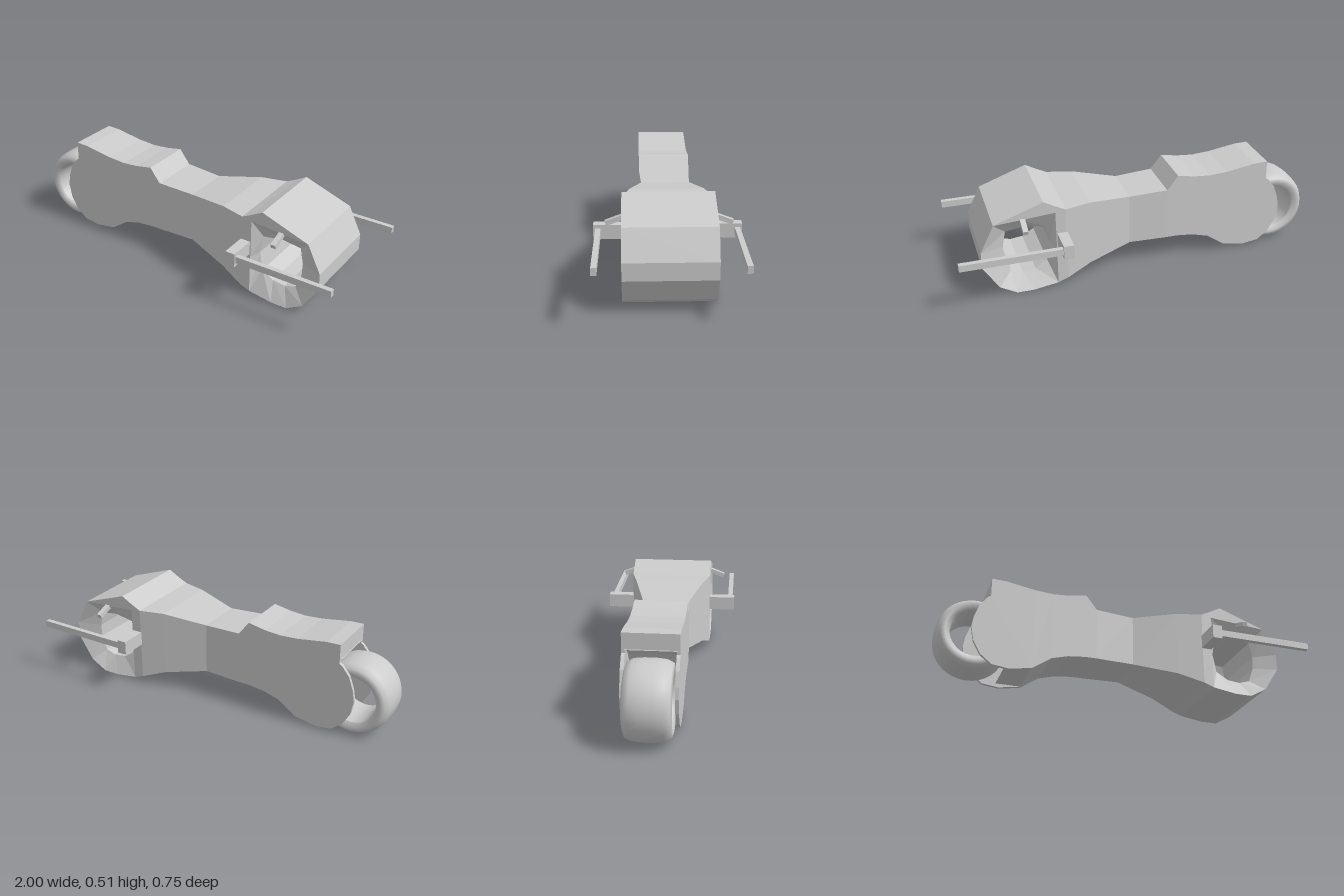
import * as THREE from 'three';

const grey = new THREE.MeshStandardMaterial({ color: 0xcccccc, flatShading: true, side: THREE.DoubleSide });
const smoothGrey = new THREE.MeshStandardMaterial({ color: 0xcccccc, side: THREE.DoubleSide });

// Collects flat quads and turns them into a geometry
function quadBuilder() {
  const pos = [];
  const quad = (a, b, c, d) => pos.push(...a, ...b, ...c, ...a, ...c, ...d);
  const flip = p => [p[0], p[1], -p[2]];
  return {
    quad,
    // a quad on the left flank and its mirror image
    pair(a, b, c, d) {
      quad(a, b, c, d);
      quad(flip(d), flip(c), flip(b), flip(a));
    },
    build() {
      const g = new THREE.BufferGeometry();
      g.setAttribute('position', new THREE.Float32BufferAttribute(pos, 3));
      g.computeVertexNormals();
      return g;
    }
  };
}

// Long tapering fuselage: stations of x, bottom, top, half width
function fuselageGeometry() {
  const stations = [
    [-0.5, 0.03, 0.485, 0.14], [-0.4, 0.1, 0.478, 0.14], [-0.31, 0.125, 0.485, 0.14],
    [-0.215, 0.135, 0.502, 0.14], [-0.155, 0.135, 0.425, 0.14], [0.055, 0.135, 0.415, 0.13],
    [0.29, 0.09, 0.45, 0.193], [0.425, 0.041, 0.45, 0.228], [0.48, 0.02, 0.477, 0.228]
  ];
  const q = quadBuilder();
  for (let i = 0; i < stations.length - 1; i++) {
    const [x0, b0, t0, w0] = stations[i], [x1, b1, t1, w1] = stations[i + 1];
    q.pair([x0, b0, w0], [x1, b1, w1], [x1, t1, w1], [x0, t0, w0]);
    q.quad([x0, t0, w0], [x1, t1, w1], [x1, t1, -w1], [x0, t0, -w0]);
    q.quad([x0, b0, -w0], [x1, b1, -w1], [x1, b1, w1], [x0, b0, w0]);
  }
  return q.build();
}

// Wide nose with a bevelled opening running through it
function noseGeometry() {
  const W = 0.228, D = 0.175;
  const outline = [
    [0.48, 0.477], [0.54, 0.51], [0.8, 0.417], [0.873, 0.27], [0.873, 0.18],
    [0.79, 0.05], [0.7, 0], [0.61, 0], [0.48, 0.02]
  ];
  const rim = [
    [0.48, 0.44], [0.66, 0.427], [0.8, 0.417], [0.873, 0.27], [0.873, 0.18],
    [0.79, 0.05], [0.7, 0], [0.61, 0], [0.48, 0.02], [0.48, 0.23]
  ];
  const hole = [
    [0.525, 0.34], [0.63, 0.36], [0.735, 0.345], [0.752, 0.26], [0.75, 0.19],
    [0.72, 0.11], [0.66, 0.092], [0.59, 0.1], [0.525, 0.14], [0.506, 0.24]
  ];
  const q = quadBuilder();
  for (let i = 0; i < outline.length - 1; i++) {
    const a = outline[i], b = outline[i + 1];
    q.quad([...a, W], [...b, W], [...b, -W], [...a, -W]);
  }
  // flat cheek above the opening
  q.pair([...rim[0], W], [...rim[2], W], [...outline[1], W], [...outline[0], W]);
  for (let i = 0; i < rim.length; i++) {
    const j = (i + 1) % rim.length;
    q.pair([...rim[i], W], [...hole[i], D], [...hole[j], D], [...rim[j], W]);
    q.quad([...hole[i], D], [...hole[i], -D], [...hole[j], -D], [...hole[j], D]);
  }
  return q.build();
}

function extrudeZ(shape, z0, z1) {
  const g = new THREE.ExtrudeGeometry(shape, { depth: z1 - z0, bevelEnabled: false, curveSegments: 20 });
  return g.translate(0, 0, z0);
}

export function createModel() {
  const model = new THREE.Group();
  const add = (name, geometry, material = grey) => {
    const mesh = new THREE.Mesh(geometry, material);
    mesh.name = name;
    model.add(mesh);
    return mesh;
  };
  const box = (name, size, at) => {
    const mesh = add(name, new THREE.BoxGeometry(...size));
    mesh.position.set(...at);
    return mesh;
  };

  add('fuselage', fuselageGeometry());
  add('nose', noseGeometry());

  // Tail core with a round wheel well
  const core = new THREE.Shape();
  core.moveTo(-0.5, 0.03);
  core.lineTo(-0.5, 0.485);
  core.lineTo(-0.66, 0.51);
  core.lineTo(-0.735, 0.513);
  core.lineTo(-0.735, 0.43);
  core.absarc(-0.8, 0.2, 0.235, 1.3, -0.8, true);
  add('tailCore', extrudeZ(core, -0.125, 0.125));

  // Side panels flanking the wheel
  const panel = new THREE.Shape([
    [-0.5, 0.03], [-0.5, 0.485], [-0.66, 0.51], [-0.735, 0.513], [-0.735, 0.41], [-0.75, 0.4],
    [-0.79, 0.35], [-0.815, 0.28], [-0.825, 0.22], [-0.81, 0.14], [-0.77, 0.07], [-0.71, 0.022], [-0.62, 0.01]
  ].map(p => new THREE.Vector2(...p)));
  add('leftTailPanel', extrudeZ(panel, 0.122, 0.14));
  add('rightTailPanel', extrudeZ(panel, -0.14, -0.122));

  // Hubless rear wheel
  const tyre = [
    [0.13, -0.1], [0.155, -0.118], [0.18, -0.11], [0.195, -0.08], [0.2, -0.03],
    [0.2, 0.03], [0.195, 0.08], [0.18, 0.11], [0.155, 0.118], [0.13, 0.1], [0.125, 0], [0.13, -0.1]
  ].map(p => new THREE.Vector2(...p));
  const wheel = add('rearWheel', new THREE.LatheGeometry(tyre, 36), smoothGrey);
  wheel.rotation.x = Math.PI / 2;
  wheel.position.set(-0.798, 0.203, 0);

  // Brackets, long steering bars and slanted pegs on both flanks
  for (const [side, s] of [['left', 1], ['right', -1]]) {
    box(side + 'Bracket', [0.054, 0.075, 0.172], [0.448, 0.282, s * 0.287]);
    box(side + 'SteeringBar', [0.53, 0.036, 0.027], [0.735, 0.282, s * 0.349]);
    const peg = box(side + 'Peg', [0.027, 0.024, 0.15], [0.65, 0.417, s * 0.234]);
    peg.rotation.x = s * 0.36;
  }
  return model;
}
